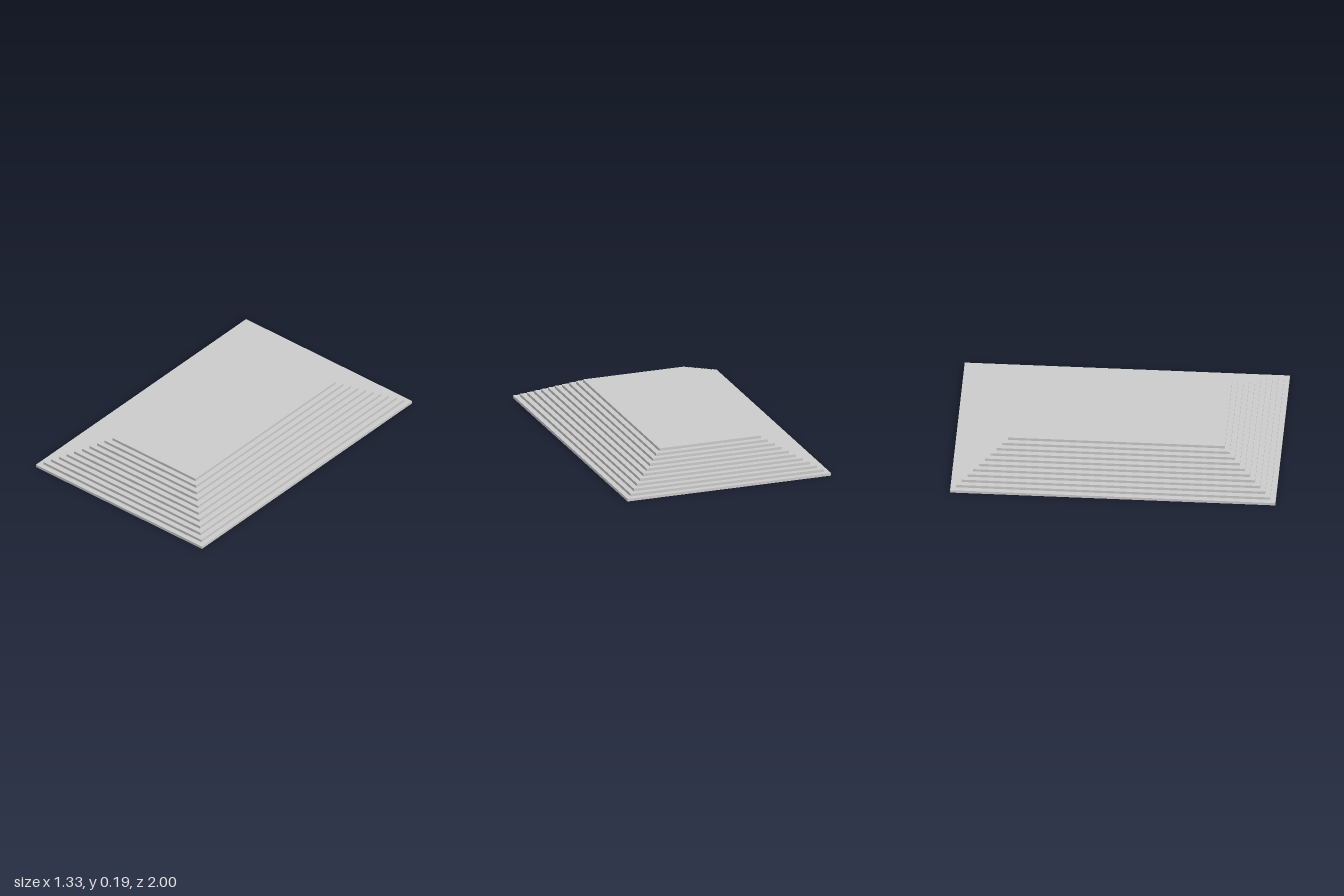
import * as THREE from 'three';

const STEPS = 11;
const RISE = 0.0174;     // height of one step
const TREAD = 1 / 30;    // inset of each step on every side
const BASE_WIDTH = 4 / 3;
const BASE_DEPTH = 2;

export function createModel() {
  const model = new THREE.Group();
  model.name = 'steppedPlatform';
  const material = new THREE.MeshStandardMaterial({ color: 0xcccccc });

  // Stacked slabs, each inset evenly from the one below
  for (let i = 0; i < STEPS; i++) {
    const inset = 2 * TREAD * i;
    const slab = new THREE.Mesh(
      new THREE.BoxGeometry(BASE_WIDTH - inset, RISE, BASE_DEPTH - inset),
      material
    );
    slab.name = i === STEPS - 1 ? 'topSlab' : `step${i + 1}`;
    slab.position.y = RISE * (i + 0.5);
    model.add(slab);
  }
  return model;
}
